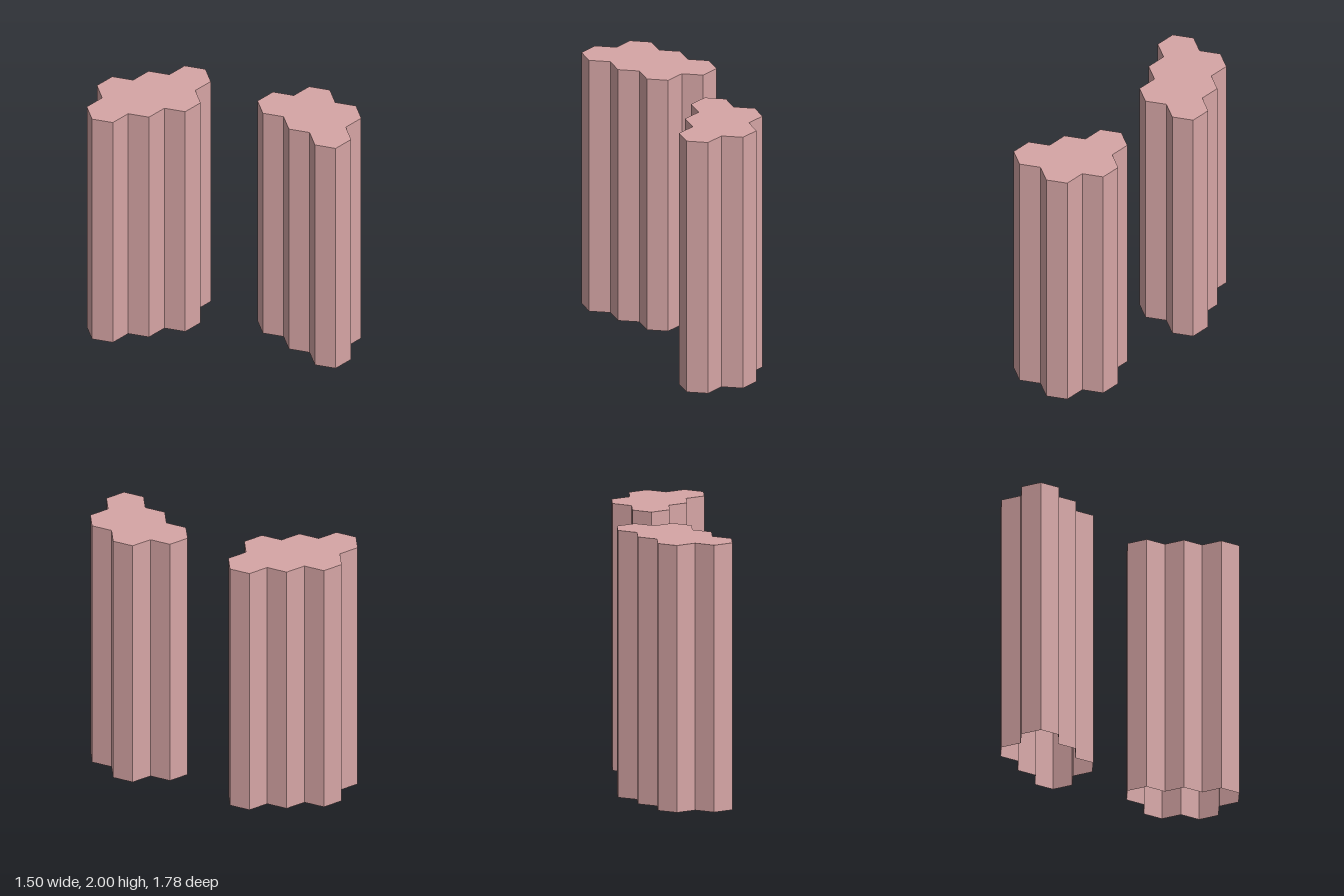
import * as THREE from 'three';

const HEIGHT = 2;
const R = 0.1579;               // hexagon corner radius
const STEP = R * Math.sqrt(3);  // hexagon spacing along z

// Hexagon cells as [column, row]; neighbouring columns are shifted by half a row
const CLUSTERS = {
  backColumns: [[0, 0.5], [1, 0], [1, 1], [2, 0.5], [2, 1.5], [3, 1]],
  frontColumns: [[4, 3.5], [4, 4.5], [4, 5.5], [5, 4], [5, 5]],
};

// Joined hexagonal prisms: outer walls and a top, hollow and open below
function clusterGeometry(cells) {
  const taken = new Set(cells.map(([c, r]) => `${c},${r}`));
  const points = [];
  for (const [c, r] of cells) {
    const cx = (c - 2.5) * 1.5 * R;
    const cz = (r - 2.75) * STEP;
    const corner = (i, y) => {
      const a = i * Math.PI / 3;
      return [cx + R * Math.cos(a), y, cz + R * Math.sin(a)];
    };
    for (let i = 0; i < 6; i++) {
      const topA = corner(i, HEIGHT), topB = corner(i + 1, HEIGHT);
      const lowA = corner(i, 0), lowB = corner(i + 1, 0);
      // top wedge
      points.push(...[cx, HEIGHT, cz], ...topB, ...topA);
      // wall, only where no neighbouring cell touches this side
      const mid = (i + 0.5) * Math.PI / 3;
      const nc = c + Math.round(Math.cos(mid) / Math.cos(Math.PI / 6));
      const nr = r + Math.round(Math.sin(mid) * 2) / 2;
      if (taken.has(`${nc},${nr}`)) continue;
      points.push(...lowB, ...lowA, ...topA, ...lowB, ...topA, ...topB);
    }
  }
  const geometry = new THREE.BufferGeometry();
  geometry.setAttribute('position', new THREE.Float32BufferAttribute(points, 3));
  geometry.computeVertexNormals();
  return geometry;
}

export function createModel() {
  const group = new THREE.Group();
  group.name = 'hexagonalColumns';
  const material = new THREE.MeshStandardMaterial({
    color: 0xd6a5a5, flatShading: true, side: THREE.DoubleSide,
  });
  for (const [name, cells] of Object.entries(CLUSTERS)) {
    const mesh = new THREE.Mesh(clusterGeometry(cells), material);
    mesh.name = name;
    group.add(mesh);
  }
  return group;
}
